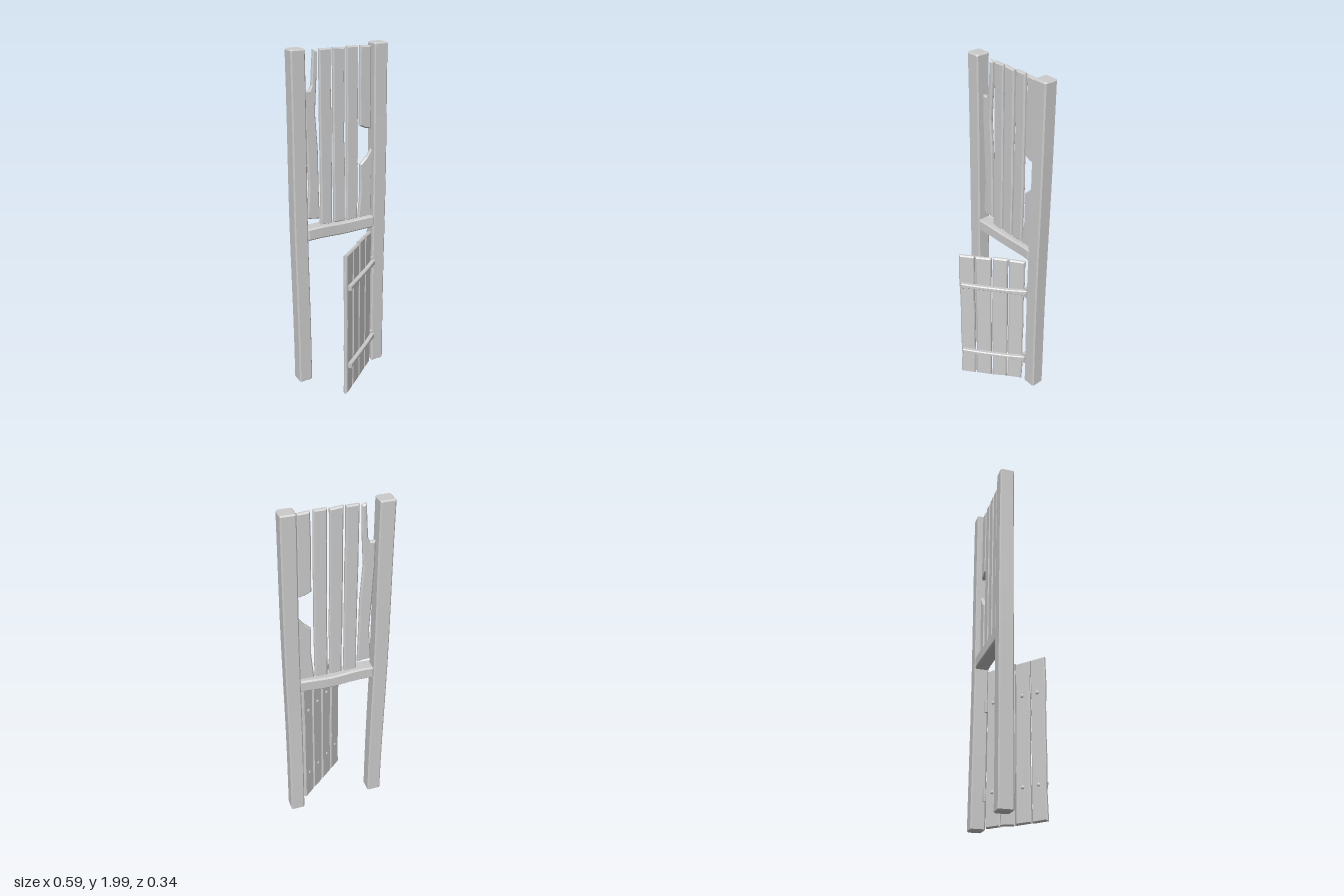
import * as THREE from 'three';

const material = new THREE.MeshStandardMaterial({ color: 0xcccccc, flatShading: true });

// Small seeded generator, returns -1..1
let seed = 7;
function jitter() {
  seed = (seed * 16807) % 2147483647;
  return (seed / 2147483647) * 2 - 1;
}

function add(parent, name, geometry, x = 0, y = 0, z = 0) {
  const mesh = new THREE.Mesh(geometry, material);
  mesh.name = name;
  mesh.position.set(x, y, z);
  parent.add(mesh);
  return mesh;
}

// Flat board with bevelled rim, centred on z = 0, from an outline in x/y
function board(outline, thickness = 0.025, bevel = 0.007) {
  const shape = new THREE.Shape(outline.map(([x, y]) => new THREE.Vector2(x, y)));
  const geometry = new THREE.ExtrudeGeometry(shape, {
    depth: thickness - 2 * bevel, bevelThickness: bevel, bevelSize: bevel,
    bevelOffset: -bevel, bevelSegments: 1,
  });
  return geometry.translate(0, 0, bevel - thickness / 2);
}

// Hand-cut plank outline with slightly wavering edges
function plankOutline(x0, x1, y0, y1) {
  const rows = 6, left = [], right = [];
  for (let i = 0; i <= rows; i++) {
    const y = y0 + ((y1 - y0) * i) / rows;
    const end = i === 0 || i === rows ? 0.004 : 0;
    left.push([x0 + 0.002 + 0.003 * jitter(), y + end * jitter()]);
    right.push([x1 - 0.002 + 0.003 * jitter(), y + end * jitter()]);
  }
  return [...right, ...left.reverse()];
}

// Chamfered timber along y from 0 to length, gently warped along its run
function beam(width, depth, length, chamfer, warp, phase) {
  const a = width / 2, b = depth / 2, c = chamfer;
  const shape = new THREE.Shape([
    [a, -b + c], [a, b - c], [a - c, b], [-a + c, b],
    [-a, b - c], [-a, -b + c], [-a + c, -b], [a - c, -b],
  ].map(([x, y]) => new THREE.Vector2(x, y)));
  const geometry = new THREE.ExtrudeGeometry(shape, {
    depth: length - 2 * c, steps: 10, bevelThickness: c, bevelSize: c,
    bevelOffset: -c, bevelSegments: 1,
  });
  geometry.translate(0, 0, c).rotateX(-Math.PI / 2);
  const p = geometry.attributes.position;
  for (let i = 0; i < p.count; i++) {
    const t = (p.getY(i) / length) * Math.PI * 2;
    p.setX(i, p.getX(i) + warp * Math.sin(t * 1.3 + phase));
    p.setZ(i, p.getZ(i) + warp * Math.sin(t + phase * 2));
  }
  geometry.computeVertexNormals();
  return geometry;
}

export function createModel() {
  seed = 7;
  const model = new THREE.Group();
  model.name = 'gate';

  // Posts and the crossbeam between them
  add(model, 'rightPost', beam(0.082, 0.082, 1.99, 0.007, 0.002, 0.5), -0.252, 0.008, -0.123);
  add(model, 'leftPost', beam(0.082, 0.082, 1.99, 0.007, 0.002, 2.4), 0.25, 0.008, -0.124);
  const lintel = add(model, 'crossbeam', beam(0.072, 0.08, 0.43, 0.008, 0.003, 1.2), 0.215, 0.963, -0.123);
  lintel.rotation.z = Math.PI / 2;

  // Upper wall of planks, the outer two broken
  const wall = new THREE.Group();
  wall.name = 'upperWall';
  wall.position.z = -0.123;
  model.add(wall);
  add(wall, 'brokenPlankRight', board([
    [-0.125, 1.04], [-0.128, 1.2], [-0.13, 1.45], [-0.143, 1.65], [-0.13, 1.85], [-0.127, 1.975],
    [-0.15, 1.985], [-0.163, 1.8], [-0.175, 1.775], [-0.204, 1.775],
    [-0.204, 1.62], [-0.197, 1.45], [-0.188, 1.25], [-0.203, 1.05],
  ]));
  for (const [x0, x1] of [[-0.119, -0.043], [-0.037, 0.039], [0.046, 0.122]]) {
    add(wall, 'plank', board(plankOutline(x0, x1, 0.995, 1.985)));
  }
  add(wall, 'brokenPlankLeftTop', board([
    [0.202, 1.522], [0.204, 1.7], [0.2, 1.98], [0.133, 1.985], [0.13, 1.8], [0.133, 1.545], [0.165, 1.53],
  ]));
  add(wall, 'brokenPlankLeftBottom', board([
    [0.208, 0.995], [0.21, 1.402], [0.175, 1.355], [0.137, 1.32], [0.139, 1.15], [0.125, 0.995],
  ]));

  // Door, standing ajar around its hinge side
  const door = new THREE.Group();
  door.name = 'door';
  door.position.set(0.187, 0, -0.089);
  door.rotation.y = 0.685;
  model.add(door);
  for (let i = 0; i < 4; i++) {
    const x = -0.384 + i * 0.097;
    const plank = add(door, 'doorPlank', board(plankOutline(x, x + 0.094, 0.012, 0.912), 0.024));
    plank.rotation.x = 0.002 * jitter();
  }

  // Battens with flared ends, nails through to the back, and hinge plates
  for (const y of [0.2, 0.707]) {
    add(door, 'batten', board([
      [-0.368, -0.014], [-0.25, -0.012], [-0.1, -0.014], [0.015, -0.02],
      [0.018, 0.016], [-0.1, 0.011], [-0.25, 0.013], [-0.37, 0.018],
    ], 0.026, 0.005), 0, y, 0.022);
    for (let i = 0; i < 4; i++) {
      const nail = add(door, 'nail', new THREE.SphereGeometry(0.011, 8, 6), -0.336 + i * 0.097, y, -0.011);
      nail.scale.z = 0.7;
    }
    add(model, 'hingePlate', new THREE.BoxGeometry(0.022, 0.07, 0.026), 0.206, y - 0.005, -0.09);
  }
  return model;
}
